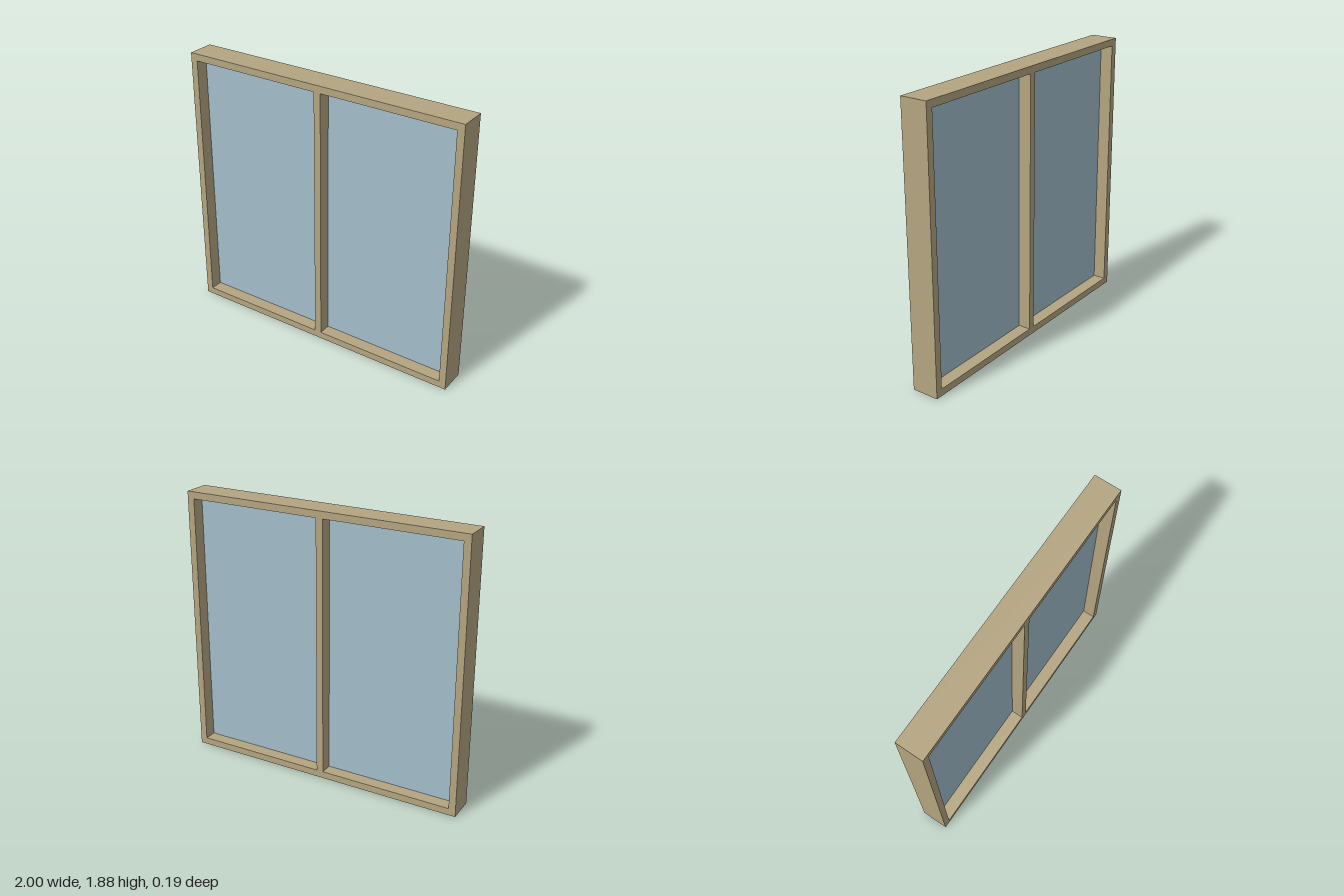
import * as THREE from 'three';

const W = 2, H = 1.875, D = 0.187; // overall size
const RAIL = 0.048;                // width of frame members and mullion

function rectangle(path, x0, y0, x1, y1) {
  path.moveTo(x0, y0);
  path.lineTo(x1, y0);
  path.lineTo(x1, y1);
  path.lineTo(x0, y1);
  path.closePath();
  return path;
}

export function createModel() {
  const model = new THREE.Group();
  model.name = 'window';

  const wood = new THREE.MeshStandardMaterial({ color: 0xb4a580 });
  wood.name = 'tan frame';
  const glass = new THREE.MeshStandardMaterial({ color: 0xa3becb });
  glass.name = 'pale blue glass';

  // Frame with a central mullion: one slab with an opening on each side
  const outline = rectangle(new THREE.Shape(), -W / 2, 0, W / 2, H);
  const paneW = W / 2 - RAIL * 1.5;
  const paneH = H - RAIL * 2;
  const sides = [['left', 1], ['right', -1]];
  for (const [, s] of sides) {
    const cx = s * (RAIL / 2 + paneW / 2);
    outline.holes.push(
      rectangle(new THREE.Path(), cx - paneW / 2, RAIL, cx + paneW / 2, H - RAIL));
  }
  const frameGeometry = new THREE.ExtrudeGeometry(outline, { depth: D, bevelEnabled: false });
  frameGeometry.translate(0, 0, -D / 2);
  const frame = new THREE.Mesh(frameGeometry, wood);
  frame.name = 'frame';
  model.add(frame);

  // Glass panes set midway through the frame depth
  for (const [side, s] of sides) {
    const pane = new THREE.Mesh(new THREE.BoxGeometry(paneW, paneH, 0.012), glass);
    pane.name = `${side}Pane`;
    pane.position.set(s * (RAIL / 2 + paneW / 2), H / 2, 0);
    model.add(pane);
  }
  return model;
}
